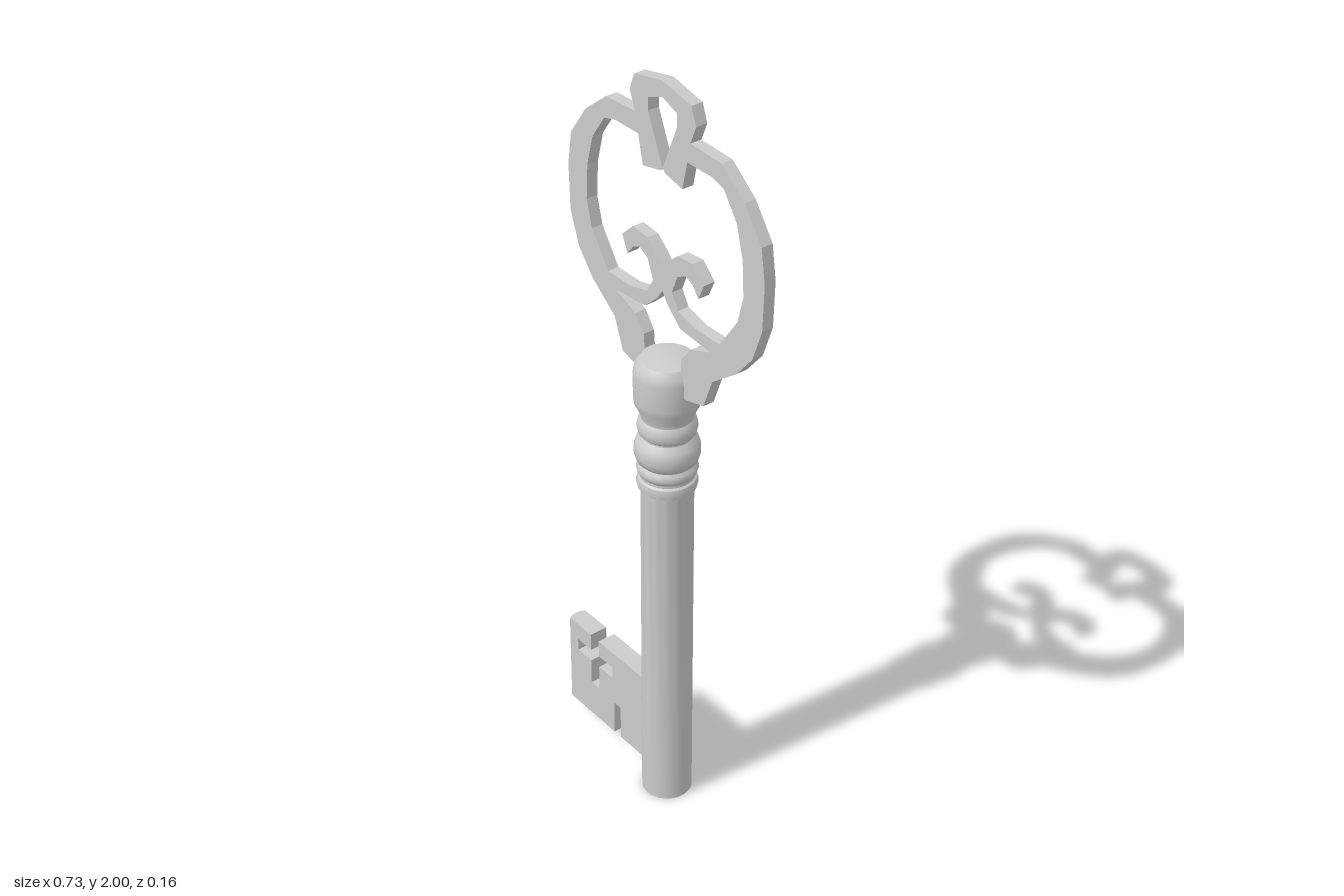
import * as THREE from 'three';
import { toCreasedNormals } from 'three/addons/utils/BufferGeometryUtils.js';

const AXIS = 0.018; // x of the shaft's axis
const material = new THREE.MeshStandardMaterial({ color: 0xcccccc });

const points = (list) => list.map(([x, y]) => new THREE.Vector2(x, y));

function plate(outline, thickness, steps = 1) {
  return new THREE.ExtrudeGeometry(new THREE.Shape(points(outline)), {
    depth: thickness, bevelEnabled: false, steps,
  }).translate(0, 0, -thickness / 2);
}

function addPart(group, name, geometry, crease = 0.6) {
  const mesh = new THREE.Mesh(toCreasedNormals(geometry, crease), material);
  mesh.name = name;
  group.add(mesh);
  return mesh;
}

export function createModel() {
  const key = new THREE.Group();
  key.name = 'key';

  // Turned shaft with its rings, bulge and domed collar
  const profile = [
    [0, 0], [0.064, 0], [0.064, 0.945],
    [0.071, 0.95], [0.074, 0.963], [0.071, 0.976], [0.066, 0.98],
    [0.066, 0.987], [0.071, 0.993], [0.074, 1.003], [0.071, 1.014], [0.066, 1.02],
    [0.074, 1.028], [0.079, 1.045], [0.079, 1.065], [0.074, 1.08], [0.062, 1.094],
    [0.062, 1.098], [0.069, 1.105], [0.072, 1.12], [0.069, 1.136], [0.063, 1.145],
    [0.064, 1.155], [0.078, 1.185], [0.08, 1.2], [0.08, 1.265], [0.077, 1.285],
    [0.064, 1.301], [0.03, 1.307], [0, 1.308],
  ];
  addPart(key, 'shaft', new THREE.LatheGeometry(points(profile), 32)).position.x = AXIS;

  // Half of the bow, measured from the axis: outer edge, scroll, inner edge
  const outer = [
    [0, 2], [0.098, 1.979], [0.114, 1.936], [0.095, 1.89], [0.199, 1.886],
    [0.276, 1.825], [0.333, 1.745], [0.346, 1.66], [0.342, 1.543], [0.312, 1.458],
    [0.26, 1.395], [0.178, 1.332], [0.148, 1.252], [0.085, 1.236], [0.05, 1.236],
    [0.05, 1.3], [0.066, 1.3], [0.069, 1.337], [0.1, 1.378], [0.17, 1.406],
  ];
  const scroll = [
    [0.064, 1.415], [0.018, 1.457], [0, 1.484], [0, 1.549], [0.021, 1.57],
    [0.053, 1.597], [0.106, 1.602], [0.146, 1.565], [0.127, 1.523], [0.106, 1.549],
    [0.082, 1.56], [0.053, 1.544], [0.034, 1.496], [0.056, 1.458], [0.119, 1.442],
  ];
  const inner = [
    [0.201, 1.442], [0.26, 1.528], [0.278, 1.597], [0.273, 1.687], [0.252, 1.766],
    [0.207, 1.83], [0.166, 1.841], [0.085, 1.841], [0.069, 1.77], [0.01, 1.783],
    [0, 1.792], [0.05, 1.91], [0.05, 1.942], [0, 1.961],
  ];
  const half = [...outer, ...scroll, ...inner];
  for (const [name, side] of [['leftBow', 1], ['rightBow', -1]]) {
    const outline = half.map(([x, y]) => [AXIS + side * x, y]);
    addPart(key, name, plate(outline, 0.03), 0.2);
  }

  // Bit with a cross cut open at the top and a slot at the bottom
  const bit = plate([
    [-0.366, 0.055], [-0.171, 0.055], [-0.171, 0.154], [-0.144, 0.154], [-0.144, 0.055],
    [-0.02, 0.055], [-0.02, 0.318], [-0.234, 0.318], [-0.234, 0.268], [-0.176, 0.268],
    [-0.176, 0.233], [-0.234, 0.233], [-0.234, 0.159], [-0.268, 0.159], [-0.268, 0.233],
    [-0.324, 0.233], [-0.324, 0.268], [-0.268, 0.268], [-0.268, 0.318], [-0.366, 0.318],
  ], 0.05, 6);
  // Round the free end slightly
  const p = bit.attributes.position;
  for (let i = 0; i < p.count; i++) {
    if (p.getX(i) < -0.36) p.setX(i, p.getX(i) + 0.008 * (p.getZ(i) / 0.025) ** 2);
  }
  addPart(key, 'bit', bit);

  return key;
}
